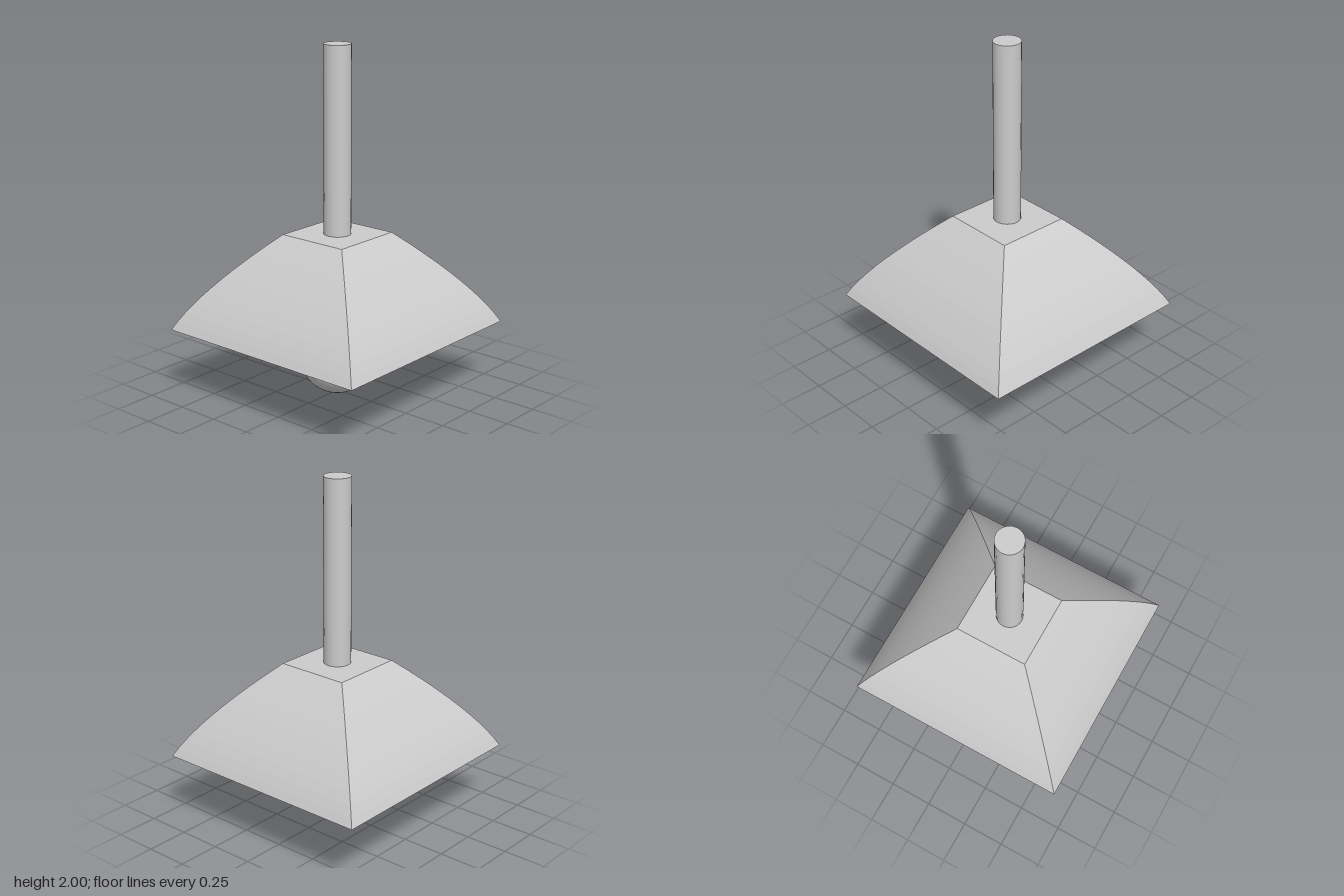
import * as THREE from 'three';

const grey = new THREE.MeshStandardMaterial({ color: 0xcccccc });
const faceted = new THREE.MeshStandardMaterial({ color: 0xcccccc, flatShading: true });

const RIM = 0.663, RIM_Y = 0.395, TOP = 0.215, TOP_Y = 0.94;

function add(group, name, geometry, material) {
  const mesh = new THREE.Mesh(geometry, material);
  mesh.name = name;
  group.add(mesh);
  return mesh;
}

export function createModel() {
  const model = new THREE.Group();
  model.name = 'pendantLamp';

  // Hanging rod
  const rodBase = TOP_Y - 0.02;
  const rod = add(model, 'rod', new THREE.CylinderGeometry(0.077, 0.077, 2 - rodBase, 24), grey);
  rod.position.y = (2 + rodBase) / 2;

  // Four-sided shade: a curved profile turned in four steps, closed by a flat top
  const flare = new THREE.QuadraticBezierCurve(
    new THREE.Vector2(RIM, RIM_Y),
    new THREE.Vector2(0.549, 0.625),
    new THREE.Vector2(TOP, TOP_Y)
  );
  const profile = flare.getPoints(10).map(p => new THREE.Vector2(p.x * Math.SQRT2, p.y));
  profile.push(new THREE.Vector2(0, TOP_Y));
  const shade = new THREE.LatheGeometry(profile, 4, Math.PI / 4).toNonIndexed();
  shade.computeVertexNormals();
  add(model, 'shade', shade, faceted);

  // Underside: shallow dome rising from the square rim to the bulb
  const under = new THREE.PlaneGeometry(2 * RIM, 2 * RIM, 16, 16).rotateX(Math.PI / 2);
  const pos = under.attributes.position;
  for (let i = 0; i < pos.count; i++) {
    const u = pos.getX(i) / RIM, v = pos.getZ(i) / RIM;
    pos.setY(i, RIM_Y + 0.11 * (1 - u * u) * (1 - v * v));
  }
  under.computeVertexNormals();
  add(model, 'shadeUnderside', under, grey);

  // Bulb: round below, tapering into a neck inside the shade
  const R = 0.215;
  const bulb = [];
  for (let i = 0; i <= 14; i++) {
    const a = (i / 14) * Math.PI / 2;
    bulb.push(new THREE.Vector2(R * Math.sin(a), R - R * Math.cos(a)));
  }
  const neck = new THREE.CubicBezierCurve(
    new THREE.Vector2(R, R),
    new THREE.Vector2(R, 0.33),
    new THREE.Vector2(0.142, 0.4),
    new THREE.Vector2(0.14, 0.54)
  );
  bulb.push(...neck.getPoints(12).slice(1), new THREE.Vector2(0, 0.54));
  add(model, 'bulb', new THREE.LatheGeometry(bulb, 40), grey);

  return model;
}
